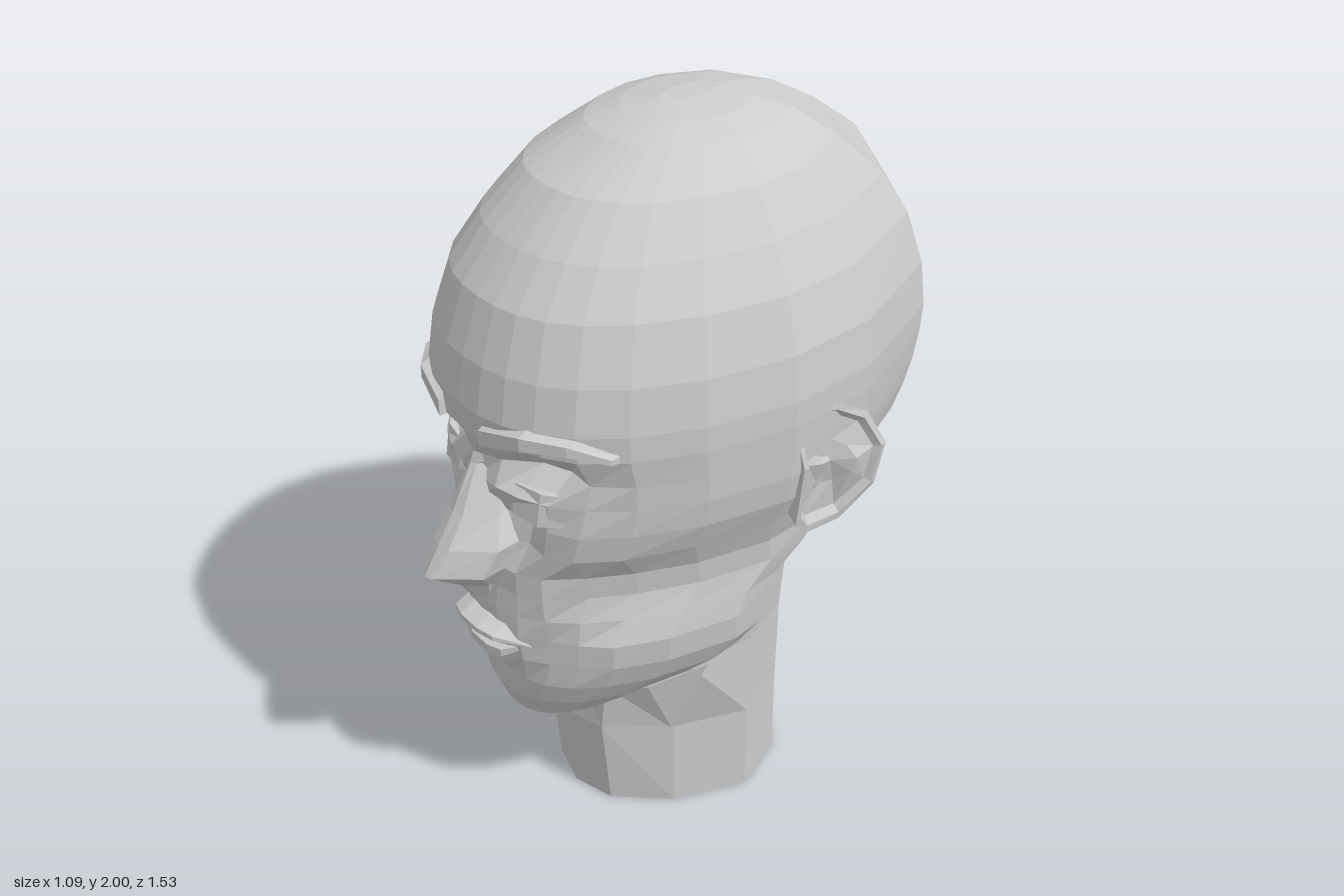
import * as THREE from 'three';
import { ConvexGeometry } from 'three/addons/geometries/ConvexGeometry.js';

const skin = new THREE.MeshStandardMaterial({ color: 0xcccccc, flatShading: true });
skin.name = 'plain grey';

// Skin closed rings of [x, y, z] points, cap both ends and face the result outwards
function loft(rings) {
  const n = rings[0].length, pos = rings.flat(2), idx = [];
  rings.slice(1).forEach((_, j) => {
    for (let i = 0; i < n; i++) {
      const a = j * n + i, b = j * n + (i + 1) % n;
      idx.push(a, b, a + n, b, b + n, a + n);
    }
  });
  const cap = (ring, base, flip) => {
    const c = pos.length / 3;
    for (let k = 0; k < 3; k++) pos.push(ring.reduce((s, p) => s + p[k], 0) / n);
    for (let i = 0; i < n; i++) {
      const a = base + i, b = base + (i + 1) % n;
      idx.push(c, flip ? b : a, flip ? a : b);
    }
  };
  cap(rings[0], 0, true);
  cap(rings.at(-1), (rings.length - 1) * n, false);

  const v = (i) => new THREE.Vector3().fromArray(pos, idx[i] * 3);
  let volume = 0;
  for (let i = 0; i < idx.length; i += 3) volume += v(i).dot(v(i + 1).cross(v(i + 2)));
  if (volume < 0) idx.reverse();
  const g = new THREE.BufferGeometry();
  g.setAttribute('position', new THREE.Float32BufferAttribute(pos, 3));
  g.setIndex(idx);
  const flat = g.toNonIndexed();
  flat.computeVertexNormals();
  return flat;
}

// Full symmetric ring from the points of its +x half, front to back
function mirrored(half) {
  const other = half.filter((p) => p[0] > 1e-6).map(([x, y, z]) => [-x, y, z]).reverse();
  return [...half, ...other];
}

// Head sections: y, half width, front z, back z, z of the widest point
const HEAD = [
  [2, .04, .02, -.15], [1.985, .14, .11, -.24], [1.96, .21, .2, -.33], [1.88, .31, .36, -.47],
  [1.77, .385, .475, -.62], [1.66, .445, .56, -.7], [1.52, .487, .61, -.75],
  [1.4, .5, .63, -.765], [1.33, .5, .625, -.757], [1.25, .495, .6, -.74],
  [1.18, .49, .595, -.71], [1.1, .475, .6, -.67], [1.02, .44, .6, -.605],
  [.94, .41, .6, -.51], [.87, .405, .6, -.37], [.8, .4, .6, -.2, 0],
  [.73, .4, .595, -.12, .03], [.65, .39, .585, -.12, .03], [.57, .345, .575, -.1, .07],
  [.49, .265, .56, 0, .17], [.41, .17, .53, .1, .28], [.335, .1, .36, .15, .28],
];

// Hollows and swellings of the face: x, y, x reach, y reach, depth
const FEATURES = [
  [.18, 1.26, .13, .08, -.09],
  [.13, 1.07, .1, .09, -.06],
  [.27, 1.04, .12, .1, .02],
  [.31, .88, .12, .13, -.055],
  [.2, .72, .08, .12, -.025],
  [0, .73, .14, .12, .015],
  [0, .57, .16, .08, -.012],
];

function headGeometry() {
  const across = [0, .15, .3, .45, .6, .75, .9, 1];
  return loft(HEAD.map(([y, w, front, back, mid = -.06]) => {
    const half = across.map((u) => {
      const x = u * w;
      let z = mid + (front - mid) * Math.max(.1, (1 - u ** 2.4) ** .55);
      for (const [fx, fy, rx, ry, d] of FEATURES)
        z += d * Math.max(0, 1 - Math.hypot((x - fx) / rx, (y - fy) / ry) ** 2);
      return [x, y, z];
    });
    const rear = [[.96, .27], [.69, .72], [0, 1]].map(([u, v]) => [u * w, y, mid + (back - mid) * v]);
    return mirrored([...half, ...rear]);
  }));
}

// Neck: y, side half width, front z, half width at the front corner and at the back corner
function neckGeometry() {
  return loft([[0, .315, .34, .24, .24], [.28, .315, .365, .24, .24], [.54, .318, .36, .305, .245],
    [.8, .35, .3, .34, .27], [.92, .37, .25, .34, .29]].map(([y, w, f, c, b]) => mirrored([
    [0, y, f], [c / 2, y, f - .035], [c, y, .17], [w, y, -.03], [b, y, -.2], [0, y, -.365],
  ])));
}

// Nose: y, base half width, ridge half width, ridge z, base z
function noseGeometry() {
  return loft([[1.25, .06, .02, .6, .5], [1.22, .045, .012, .61, .5], [1.1, .08, .03, .67, .5],
    [1.02, .115, .035, .72, .52], [.945, .1, .02, .765, .55], [.87, .045, .012, .665, .56],
    [.79, .015, .005, .61, .57]].map(([y, w, r, z, b]) => mirrored([
    [0, y, z], [r, y, z - .008], [w, y, (z + b) / 2], [w * .9, y, b],
  ])));
}

// Lip swept across the mouth from [y, z] points of its middle section
function lipGeometry(section, reach, lift) {
  return loft([-1, -.6, -.25, .25, .6, 1].map((t) => {
    const x = t * reach, s = 1 - .7 * t ** 4;
    return section.map(([y, z]) => [
      x, .7 + (y - .7) * s + lift * t * t, .56 + (z - .56) * s - x * x * 1.4,
    ]);
  }));
}

// Eyebrow along the brow ridge: x, y, z, half height
function browGeometry() {
  return loft([[.085, 1.35, .635, .03], [.21, 1.382, .605, .024],
    [.3, 1.378, .535, .018], [.36, 1.342, .45, .01]].map(([x, y, z, h]) => [
    [x, y + h, z - .025], [x, y + h * .5, z], [x, y - h, z], [x, y - h, z - .06], [x, y + h, z - .07],
  ]));
}

// Eye: upright faceted lid below the brow
function eyeGeometry() {
  return loft([[.07, .56, .025], [.12, .575, .038], [.2, .56, .042], [.27, .5, .036]].map(([x, z, h]) => [
    [x, 1.165 + h, z - .015], [x, 1.16 - h, z], [x, 1.155 - h, z - .09], [x, 1.165 + h, z - .12],
  ]));
}

// Ear: outline [z, y] shrunk in steps to form the rim and the hollow
function earGeometry() {
  const outline = [[0, 1.345], [-.05, 1.36], [-.13, 1.345], [-.21, 1.3], [-.26, 1.2],
    [-.24, 1.08], [-.16, .985], [-.06, .97], [-.02, 1.02], [-.02, 1.2]];
  const cz = -.13, cy = 1.17;
  return loft([[.75, -.1], [.93, -.035], [1, 0], [.88, .003], [.78, -.014], [.35, -.012]].map(([s, dx]) =>
    outline.map(([z, y]) => [
      .504 - z * .14 - (y - cy) ** 2 + dx, cy + (y - cy) * s, cz + (z - cz) * s,
    ])));
}

// Tendon below the corner of the jaw
function tendonGeometry() {
  const pts = [[.265, .5, .28], [.32, .53, .12], [.24, .28, .18], [.2, .47, .34], [.2, .4, .1]];
  return new ConvexGeometry(pts.map((p) => new THREE.Vector3(...p)));
}

// Copy of a geometry on the other side, with its corner order restored
function flipX(geometry) {
  const g = geometry.clone(), p = g.attributes.position;
  for (let i = 0; i < p.count; i += 3) {
    const c = [0, 2, 1].map((k) => [-p.getX(i + k), p.getY(i + k), p.getZ(i + k)]);
    c.forEach((q, k) => p.setXYZ(i + k, ...q));
  }
  g.computeVertexNormals();
  return g;
}

export function createModel() {
  const model = new THREE.Group();
  model.name = 'head bust';
  const add = (name, geometry) => {
    const mesh = new THREE.Mesh(geometry, skin);
    mesh.name = name;
    model.add(mesh);
  };

  add('head', headGeometry());
  add('neck', neckGeometry());
  add('nose', noseGeometry());
  add('upperLip', lipGeometry([[.785, .585], [.75, .655], [.735, .655], [.69, .6], [.72, .54]], .14, -.008));
  add('lowerLip', lipGeometry([[.69, .59], [.675, .625], [.65, .625], [.605, .575], [.65, .54]], .13, .01));

  const pairs = {
    Eyebrow: browGeometry(), Eye: eyeGeometry(), Ear: earGeometry(), NeckTendon: tendonGeometry(),
  };
  for (const [name, geometry] of Object.entries(pairs)) {
    add('left' + name, geometry);
    add('right' + name, flipX(geometry));
  }
  return model;
}
